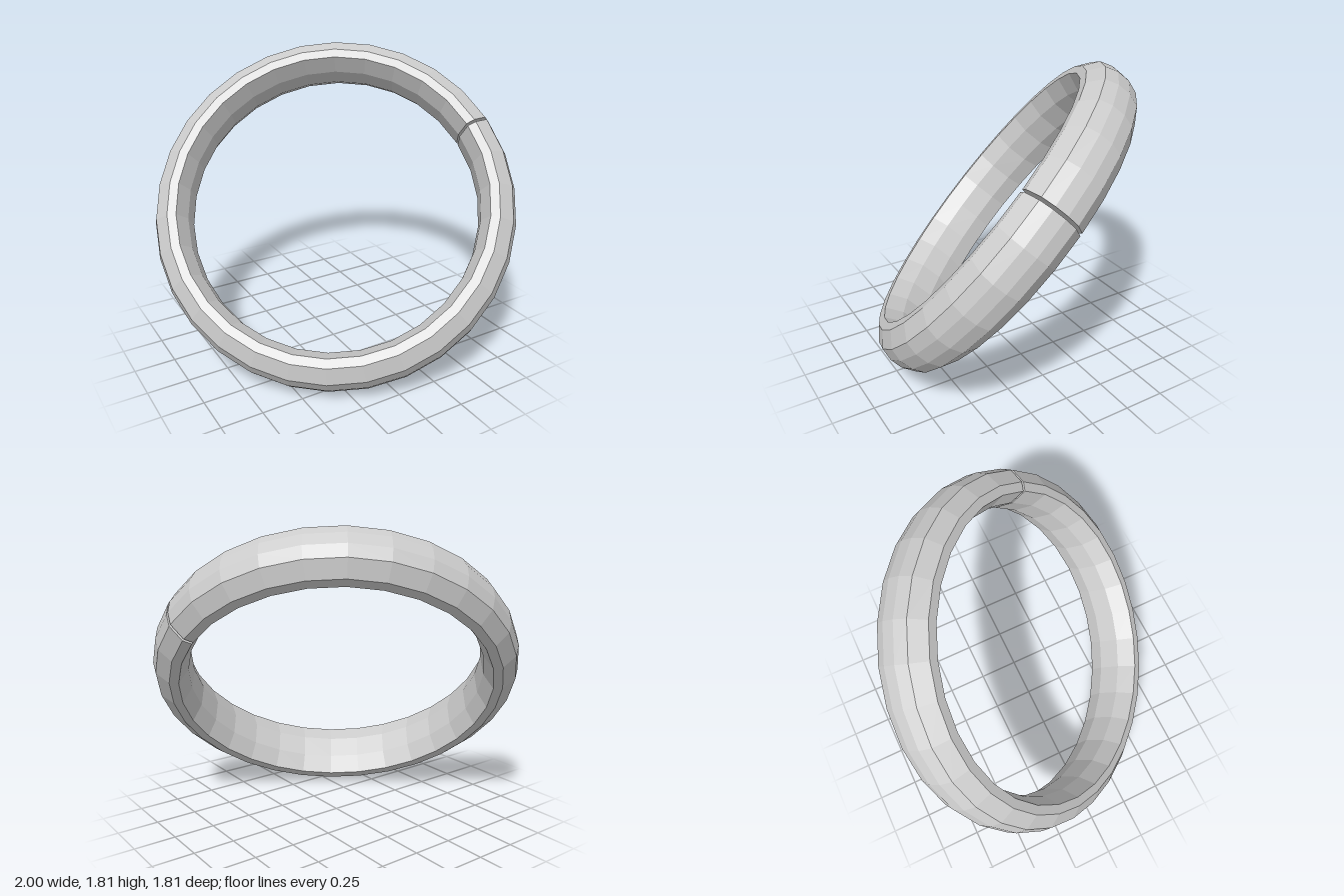
import * as THREE from 'three';

export function createModel() {
  const model = new THREE.Group();
  model.name = 'tiltedRing';
  const material = new THREE.MeshStandardMaterial({ color: 0xcccccc, flatShading: true, side: THREE.DoubleSide });

  // Closed section of the band: radius and height along the ring's axis
  const outer = [[0.985, -0.18], [1.07, -0.115], [1.095, -0.04], [1.095, 0.04], [1.07, 0.115], [0.985, 0.18]];
  const inner = [[0.93, 0.18], [0.885, 0.07], [0.885, -0.07], [0.93, -0.18]];
  const section = [...outer, ...inner].map(([r, h]) => new THREE.Vector2(r, h));

  // Band: almost a full turn, leaving a hairline split at angle 0
  const ring = new THREE.Group();
  ring.name = 'ring';
  const gap = 0.016;
  const band = new THREE.Mesh(
    new THREE.LatheGeometry([...section, section[0]], 30, gap / 2, Math.PI * 2 - gap), material);
  band.name = 'band';
  ring.add(band);

  // Flat ends on both sides of the split
  for (const side of [-1, 1]) {
    const end = new THREE.Mesh(new THREE.ShapeGeometry(new THREE.Shape(section)), material);
    end.name = side < 0 ? 'splitEndA' : 'splitEndB';
    end.rotation.y = side * gap / 2 - Math.PI / 2;
    ring.add(end);
  }

  // Tilt: y becomes the ring's axis, z points at the split
  const axis = new THREE.Vector3(-0.458, 0.629, 0.629).normalize();
  const split = new THREE.Vector3(0.86, 0.41, 0.23);
  split.addScaledVector(axis, -split.dot(axis)).normalize();
  const across = new THREE.Vector3().crossVectors(axis, split);
  ring.quaternion.setFromRotationMatrix(new THREE.Matrix4().makeBasis(across, axis, split));
  ring.position.y = 0.915;
  model.add(ring);
  return model;
}
